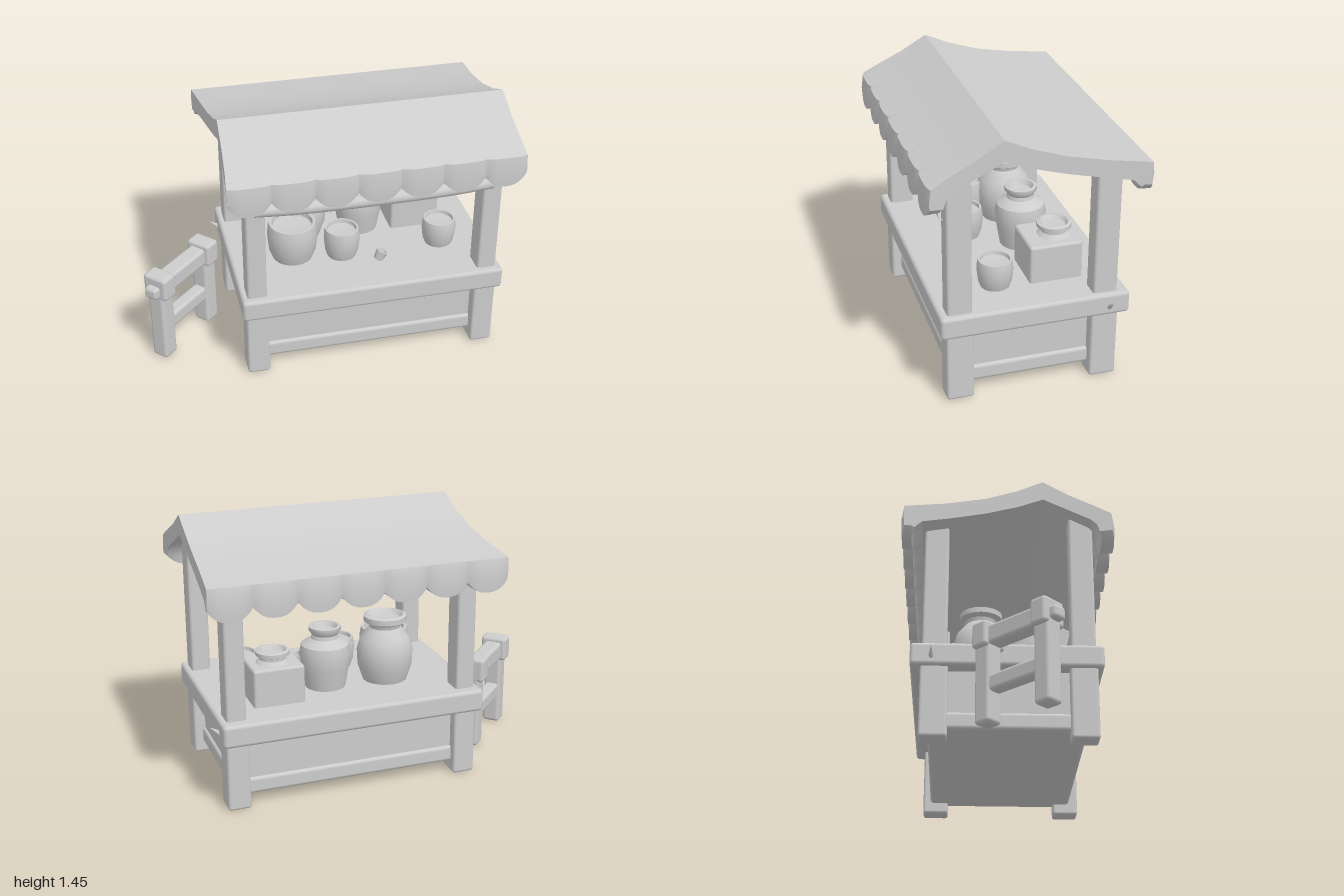
import * as THREE from 'three';
import { toCreasedNormals } from 'three/addons/utils/BufferGeometryUtils.js';
import { RoundedBoxGeometry } from 'three/addons/geometries/RoundedBoxGeometry.js';

const clay = new THREE.MeshStandardMaterial({ color: 0xcccccc, side: THREE.DoubleSide });
clay.name = 'plainGrey';

function add(parent, name, geometry, x = 0, y = 0, z = 0) {
  const mesh = new THREE.Mesh(geometry, clay);
  mesh.name = name;
  mesh.position.set(x, y, z);
  parent.add(mesh);
  return mesh;
}

// Softly rounded box given by its lower and upper limits
function block(parent, name, x0, x1, y0, y1, z0, z1, r = 0.015) {
  const g = new RoundedBoxGeometry(x1 - x0, y1 - y0, z1 - z0, 2, r);
  return add(parent, name, g, (x0 + x1) / 2, (y0 + y1) / 2, (z0 + z1) / 2);
}

// Turned pot from [radius, height] points
function pot(parent, name, x, z, points, y = 0.495) {
  const pts = points.map(([r, h]) => new THREE.Vector2(r, h));
  const g = toCreasedNormals(new THREE.LatheGeometry(pts, 20), 0.7);
  return add(parent, name, g, x, y, z);
}

// Roof: one cross-section swept along x, with scalloped eaves
function roofGeometry() {
  const outer = [[0.57, 1.085], [0.575, 1.17], [0.565, 1.25], [0.47, 1.295], [0.33, 1.365], [0.19, 1.447],
    [0.05, 1.385], [-0.12, 1.33], [-0.33, 1.288], [-0.55, 1.258], [-0.568, 1.2], [-0.562, 1.08]];
  const inner = [[-0.51, 1.08], [-0.495, 1.13], [-0.455, 1.17], [-0.31, 1.197], [-0.12, 1.238], [0.05, 1.285],
    [0.19, 1.337], [0.33, 1.27], [0.44, 1.215], [0.475, 1.185], [0.49, 1.14], [0.5, 1.085]];
  const profile = [...outer, ...inner], n = profile.length;
  const panels = 7, perPanel = 10, steps = panels * perPanel;
  const pos = [], idx = [];
  for (let i = 0; i <= steps; i++) {
    const u = i / steps;
    const s = Math.abs(2 * ((i % perPanel) / perPanel) - 1);
    for (const [z, y] of profile) {
      const back = z < 0.19;
      const e = (z - 0.19) / (back ? 0.76 : 0.38);
      const half = 0.765 + (back ? 0.04 : 0.02) * e * e;
      const eave = Math.abs(z) > 0.485 && y < 1.1;
      const seam = Math.abs(z) > 0.555 ? Math.sign(z) * 0.014 * s ** 4 : 0;
      pos.push(0.195 + half * (2 * u - 1), y + (eave ? 0.06 * s ** 2.5 : 0), z - seam);
    }
  }
  for (let i = 0; i < steps; i++) {
    for (let j = 0; j < n; j++) {
      const k = (j + 1) % n;
      const a = i * n + j, b = i * n + k, c = b + n, d = a + n;
      idx.push(a, d, c, a, c, b);
    }
  }
  for (let j = 0; j < n / 2 - 1; j++) {
    const [a, b, c, d] = [j, j + 1, n - 2 - j, n - 1 - j];
    const o = steps * n;
    idx.push(a, b, c, a, c, d, o + a, o + c, o + b, o + a, o + d, o + c);
  }
  const g = new THREE.BufferGeometry();
  g.setAttribute('position', new THREE.Float32BufferAttribute(pos, 3));
  g.setIndex(idx);
  return toCreasedNormals(g, 0.6);
}

function tube(points, radius) {
  const curve = new THREE.CatmullRomCurve3(points.map((p) => new THREE.Vector3(...p)));
  return new THREE.TubeGeometry(curve, 16, radius, 10);
}

export function createModel() {
  const model = new THREE.Group();
  model.name = 'marketStall';

  add(model, 'roof', roofGeometry());

  // Counter
  block(model, 'counterTop', -0.52, 0.93, 0.38, 0.503, -0.5, 0.5, 0.02);
  block(model, 'counterBody', -0.43, 0.84, 0.1, 0.4, -0.39, 0.4, 0.01);
  block(model, 'counterSkirt', -0.445, 0.855, 0.06, 0.152, -0.405, 0.415, 0.02);

  // Legs and posts at the four corners
  for (const s of [-1, 1]) {
    const x = 0.205 + s * 0.64;
    for (const [z, h] of [[0.395, 1.28], [-0.375, 1.21]]) {
      block(model, 'leg', x - 0.063, x + 0.06, 0, 0.42, z - 0.072, z + 0.072);
      block(model, 'post', x - 0.053, x + 0.053, 0.4, h, z - 0.065, z + 0.065);
    }
    // Small pegs on the counter ends
    const peg = add(model, 'peg', new THREE.ConeGeometry(0.018, 0.08, 8), 0.205 + s * 0.74, 0.445, -0.39);
    peg.rotation.z = -s * 0.9;
  }

  // Sagging beam between the front posts
  add(model, 'frontBeam', tube([[-0.44, 1.045, 0.45], [-0.2, 1.03, 0.45], [0.2, 1.025, 0.45],
    [0.6, 1.03, 0.45], [0.84, 1.045, 0.45]], 0.036));

  // Pots on the counter
  pot(model, 'largeJar', -0.085, -0.13, [[0, 0], [0.12, 0], [0.15, 0.09], [0.155, 0.18], [0.135, 0.25], [0.085, 0.31],
    [0.09, 0.33], [0.118, 0.345], [0.118, 0.375], [0.1, 0.382], [0.08, 0.36], [0, 0.35]]);
  pot(model, 'tallJar', 0.26, -0.12, [[0, 0], [0.11, 0], [0.13, 0.12], [0.14, 0.2], [0.13, 0.25], [0.075, 0.285],
    [0.07, 0.305], [0.088, 0.33], [0.088, 0.35], [0.07, 0.352], [0.055, 0.325], [0, 0.315]]);
  const bowl = [[0, 0], [0.78, 0], [0.93, 0.25], [1, 0.6], [0.98, 0.85], [0.93, 1], [0.82, 1], [0.78, 0.88], [0, 0.82]];
  for (const [name, x, z, r, h] of [['wideBowl', -0.17, 0.1, 0.14, 0.225],
    ['frontBowl', 0.1, 0.15, 0.1, 0.18], ['sideBowl', 0.665, 0.145, 0.095, 0.16]]) {
    pot(model, name, x, z, bowl.map(([a, b]) => [a * r, b * h]));
  }
  block(model, 'squareJar', 0.435, 0.715, 0.49, 0.71, -0.315, -0.03, 0.015);
  pot(model, 'squareJarNeck', 0.58, -0.2, [[0.1, 0], [0.07, 0.03], [0.07, 0.045], [0.092, 0.055], [0.092, 0.075],
    [0.075, 0.08], [0.06, 0.06], [0, 0.055]], 0.7);
  const cup = pot(model, 'smallCup', 0.285, 0.25, [[0, 0], [0.026, 0], [0.034, 0.055], [0.026, 0.055], [0.02, 0.03], [0, 0.03]], 0.505);
  cup.rotation.z = -0.45;

  // Wooden rack standing diagonally beside the stall
  const rack = new THREE.Group();
  rack.name = 'rack';
  rack.position.set(-0.785, 0, 0.035);
  rack.rotation.y = Math.PI / 4;
  model.add(rack);
  for (const s of [-1, 1]) {
    const x = s * 0.195;
    block(rack, 'rackPost', x - 0.05, x + 0.05, 0, 0.5, -0.05, 0.05, 0.02);
    block(rack, 'rackPostHead', x - 0.05, x + 0.05, 0.4, 0.54, -0.075, 0.075, 0.02);
  }
  block(rack, 'topRail', -0.2, 0.2, 0.41, 0.515, -0.05, 0.05, 0.02);
  block(rack, 'lowerRail', -0.2, 0.2, 0.16, 0.25, -0.04, 0.04, 0.02);
  block(rack, 'railEnd', -0.285, -0.23, 0.42, 0.49, -0.04, 0.04, 0.02);

  return model;
}
